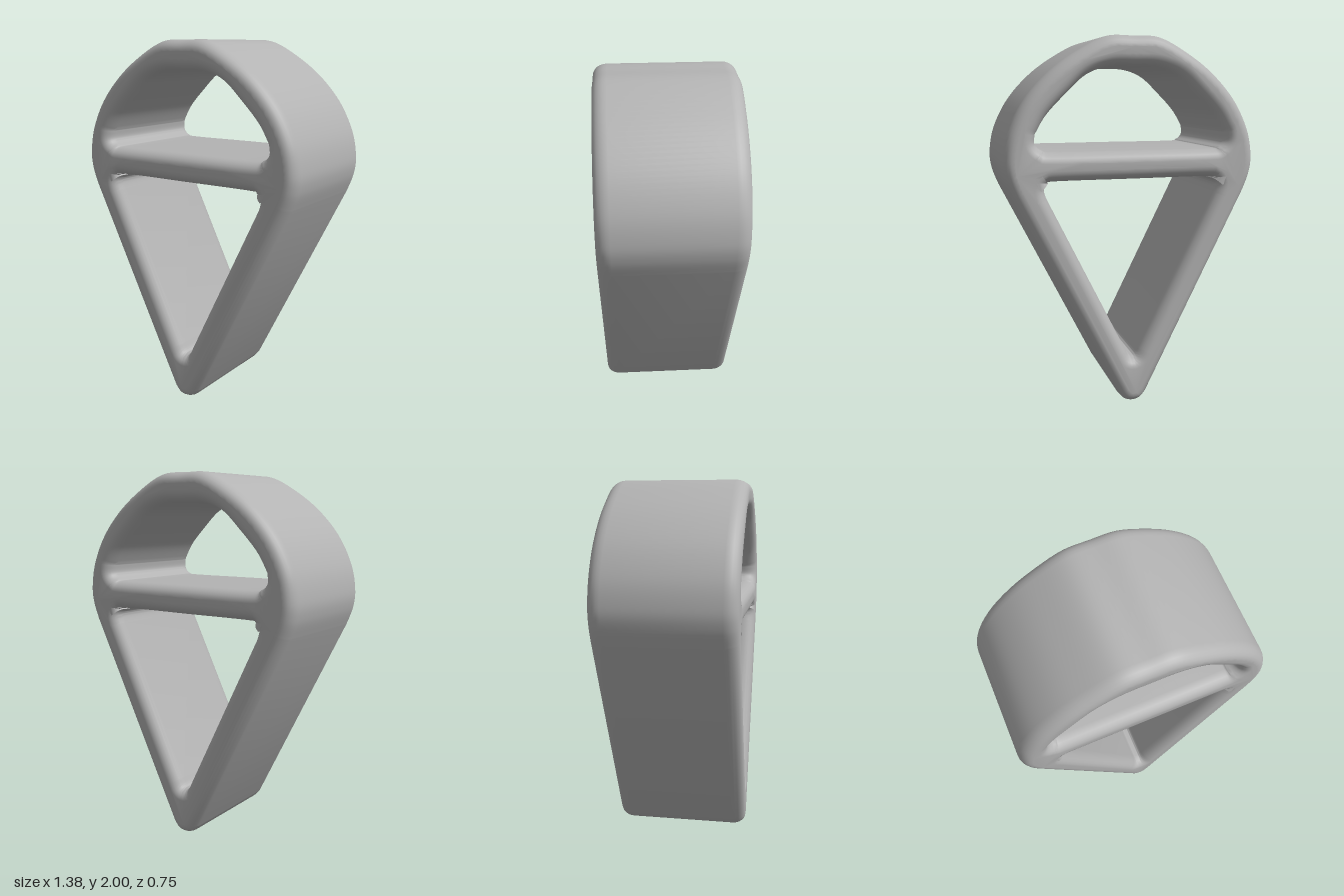
import * as THREE from 'three';
import { toCreasedNormals } from 'three/addons/utils/BufferGeometryUtils.js';

// Closed symmetric outline: two curved caps joined by straight sides.
// Each cap lists its right half, from the centre line outwards.
function outline(Type, bottom, top) {
  const sweep = (half, dir) => {
    const right = half.map(([x, y]) => new THREE.Vector2(x, y));
    const left = half.filter(([x]) => x > 0).map(([x, y]) => new THREE.Vector2(-x, y)).reverse();
    const points = [...left, ...right];
    return dir > 0 ? points : points.reverse();
  };
  const path = new Type();
  const low = sweep(bottom, 1);
  const high = sweep(top, -1);
  path.moveTo(low[0].x, low[0].y);
  path.splineThru(low.slice(1));
  path.lineTo(high[0].x, high[0].y);
  path.splineThru(high.slice(1));
  path.closePath();
  return path;
}

export function createModel() {
  const grey = new THREE.MeshStandardMaterial({ color: 0xb3b3b3 });
  grey.name = 'grey';

  // Teardrop outside: rounded tip, straight legs, arched top
  const shape = outline(THREE.Shape,
    [[0, 0], [0.045, 0.012], [0.08, 0.05]],
    [[0, 2], [0.15, 1.992], [0.32, 1.905], [0.46, 1.8], [0.58, 1.665],
      [0.66, 1.51], [0.688, 1.37], [0.678, 1.27], [0.643, 1.175]]);

  // Arched opening above the crossbar
  shape.holes.push(outline(THREE.Path,
    [[0, 1.408], [0.42, 1.408], [0.485, 1.418], [0.52, 1.45], [0.518, 1.5]],
    [[0, 1.846], [0.13, 1.842], [0.25, 1.798], [0.36, 1.7], [0.46, 1.595], [0.518, 1.5]]));

  // Triangular opening below the crossbar
  shape.holes.push(outline(THREE.Path,
    [[0, 0.26], [0.02, 0.27], [0.04, 0.31]],
    [[0, 1.255], [0.41, 1.255], [0.455, 1.245], [0.476, 1.215], [0.463, 1.165]]));

  // Thick ring with softly rounded rims on both faces
  const halfDepth = 0.377, rim = 0.075;
  const geometry = new THREE.ExtrudeGeometry(shape, {
    depth: 2 * (halfDepth - rim),
    steps: 1,
    curveSegments: 6,
    bevelThickness: rim,
    bevelSize: 0.058,
    bevelOffset: -0.058,
    bevelSegments: 6,
  });
  geometry.translate(0, 0, -(halfDepth - rim));

  const frame = new THREE.Mesh(toCreasedNormals(geometry, 0.8), grey);
  frame.name = 'teardropFrame';

  const group = new THREE.Group();
  group.name = 'teardropRing';
  group.add(frame);
  return group;
}
